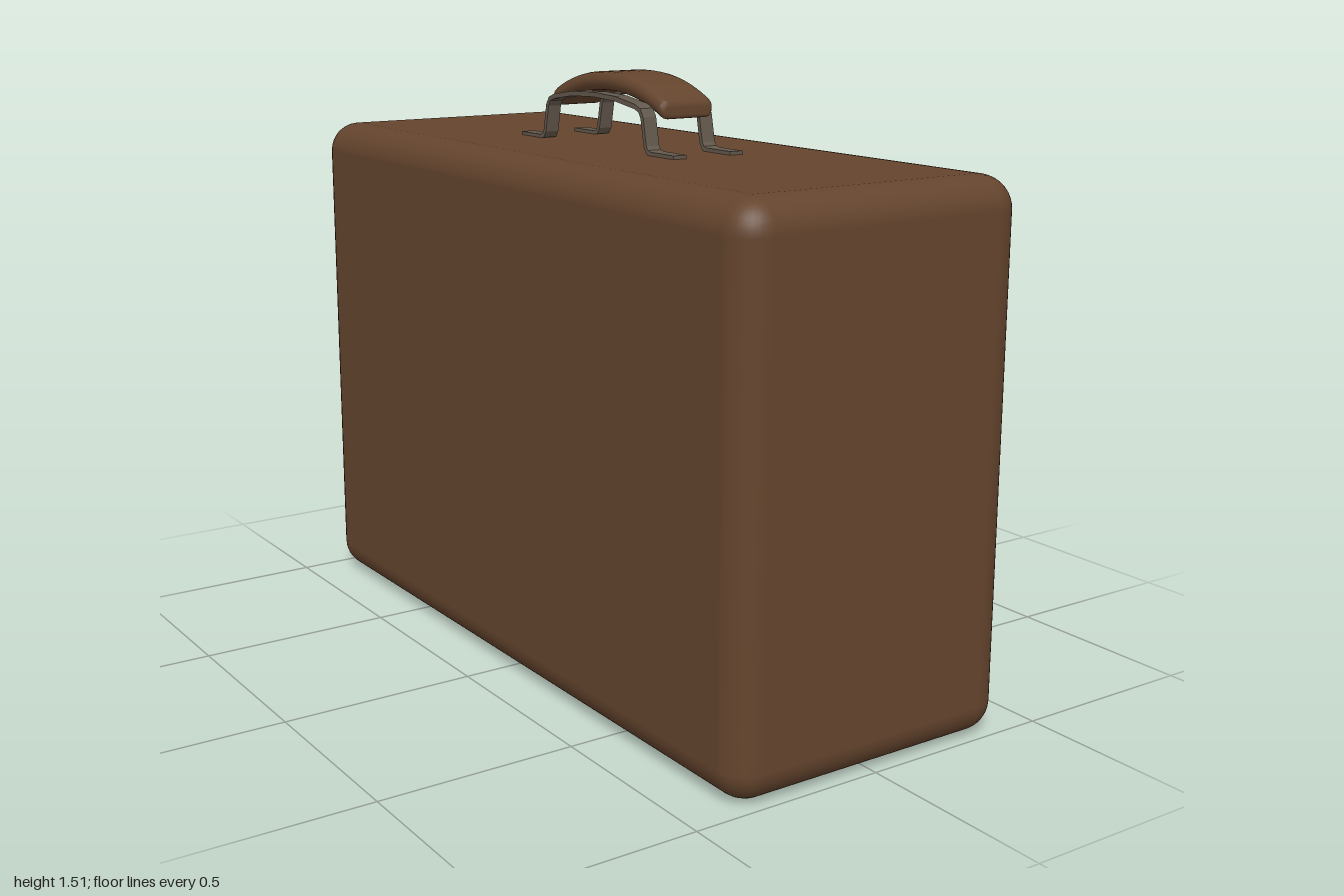
import * as THREE from 'three';
import { mergeVertices } from 'three/addons/utils/BufferGeometryUtils.js';
import { RoundedBoxGeometry } from 'three/addons/geometries/RoundedBoxGeometry.js';

const H = 1.33; // height of the case body

// Flat metal strip of constant thickness following [z, y] points, centred on x
function strapGeometry(points, thickness, width) {
  const path = points.map(([z, y]) => new THREE.Vector2(z, y));
  const upper = [], lower = [];
  path.forEach((p, i) => {
    const a = path[Math.max(i - 1, 0)], b = path[Math.min(i + 1, path.length - 1)];
    const t = b.clone().sub(a).normalize();
    const n = new THREE.Vector2(-t.y, t.x).multiplyScalar(thickness / 2);
    upper.push(p.clone().add(n));
    lower.unshift(p.clone().sub(n));
  });
  const g = new THREE.ExtrudeGeometry(new THREE.Shape([...upper, ...lower]), { depth: width, bevelEnabled: false });
  return g.translate(0, 0, -width / 2).rotateY(-Math.PI / 2);
}

// Padded grip: rounded bar along z, bent into an arch
function gripGeometry(width, thickness, length, drop) {
  const bevel = 0.012, w = width / 2 - bevel, h = thickness / 2 - bevel, r = 0.01;
  const s = new THREE.Shape();
  s.moveTo(-w + r, -h);
  s.lineTo(w - r, -h);
  s.quadraticCurveTo(w, -h, w, -h + r);
  s.lineTo(w, h - r);
  s.quadraticCurveTo(w, h, w - r, h);
  s.lineTo(-w + r, h);
  s.quadraticCurveTo(-w, h, -w, h - r);
  s.lineTo(-w, -h + r);
  s.quadraticCurveTo(-w, -h, -w + r, -h);
  const depth = length - 2 * bevel;
  let g = new THREE.ExtrudeGeometry(s, {
    depth, steps: 20, curveSegments: 3, bevelThickness: bevel, bevelSize: bevel, bevelSegments: 3,
  }).translate(0, 0, -depth / 2);
  const p = g.attributes.position;
  for (let i = 0; i < p.count; i++) {
    const u = Math.abs(p.getZ(i)) / (length / 2);
    p.setY(i, p.getY(i) - drop * u ** 2.2);
  }
  g.deleteAttribute('uv');
  g.deleteAttribute('normal');
  g = mergeVertices(g, 1e-4);
  g.computeVertexNormals();
  return g;
}

export function createModel() {
  const leather = new THREE.MeshStandardMaterial({ color: 0x64442d });
  leather.name = 'brown leather';
  const metal = new THREE.MeshStandardMaterial({ color: 0x62584c });
  metal.name = 'dull metal';

  const model = new THREE.Group();
  model.name = 'suitcase';
  const add = (name, geometry, material, x, y, z, parent = model) => {
    const mesh = new THREE.Mesh(geometry, material);
    mesh.name = name;
    mesh.position.set(x, y, z);
    parent.add(mesh);
  };

  // Case body
  add('caseBody', new RoundedBoxGeometry(0.79, H, 2, 4, 0.08), leather, 0, H / 2, 0);

  // Carrying handle
  const handle = new THREE.Group();
  handle.name = 'handle';
  handle.position.set(0, H, -0.017);
  model.add(handle);
  add('grip', gripGeometry(0.155, 0.047, 0.505, 0.058), leather, 0.013, 0.161, 0, handle);

  // Half profile of a strap: foot, upright, bend, then a shallow arch under the grip
  const half = [
    [-0.352, 0.003], [-0.26, 0.003], [-0.242, 0.007], [-0.233, 0.02],
    [-0.219, 0.088], [-0.208, 0.105], [-0.187, 0.113], [-0.1, 0.126], [0, 0.13],
  ];
  const profile = [...half, ...half.slice(0, -1).reverse().map(([z, y]) => [-z, y])];
  for (const [name, x] of [['rightStrap', -0.081], ['leftStrap', 0.086]]) {
    add(name, strapGeometry(profile, 0.012, 0.038), metal, x, 0, 0, handle);
  }
  return model;
}
